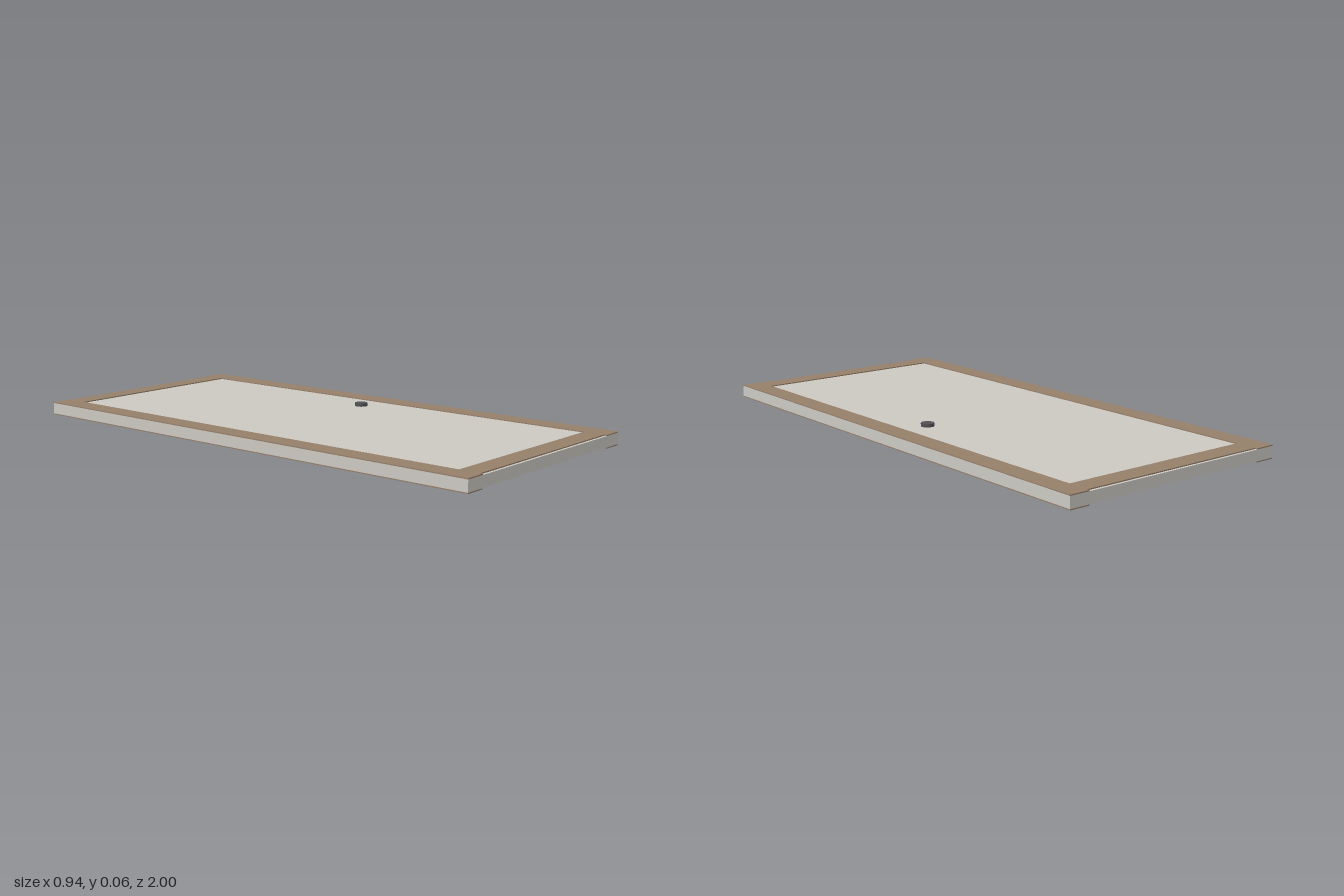
import * as THREE from 'three';

export function createModel() {
  const door = new THREE.Group();
  door.name = 'door';
  const panelMat = new THREE.MeshStandardMaterial({ color: 0xccc9c2 });
  const trimMat = new THREE.MeshStandardMaterial({ color: 0x967f6a });
  const knobMat = new THREE.MeshStandardMaterial({ color: 0x505054 });

  const W = 0.94, L = 2, H = 0.05, trim = 0.004, border = 0.08;

  function addBox(name, w, h, d, x, y, z, mat) {
    const mesh = new THREE.Mesh(new THREE.BoxGeometry(w, h, d), mat);
    mesh.name = name;
    mesh.position.set(x, y, z);
    door.add(mesh);
  }

  // Slab lying flat
  addBox('panel', W, H - 2 * trim, L, 0, H / 2, 0, panelMat);

  // Raised border on both faces: long stiles and slightly inset end rails
  for (const [face, y] of [['upper', H - trim / 2], ['lower', trim / 2]]) {
    for (const s of [-1, 1]) {
      addBox(face + (s > 0 ? 'LeftStile' : 'RightStile'),
        border, trim, L, s * (W - border) / 2, y, 0, trimMat);
      addBox(face + (s > 0 ? 'FrontRail' : 'BackRail'),
        W - 2 * border, trim, border, 0, y, s * 0.95, trimMat);
    }
  }

  // Round flat knob
  const base = H - trim, top = 0.058;
  const knob = new THREE.Mesh(new THREE.CylinderGeometry(0.025, 0.025, top - base, 24), knobMat);
  knob.name = 'knob';
  knob.position.set(0.285, (base + top) / 2, -0.03);
  door.add(knob);

  return door;
}
